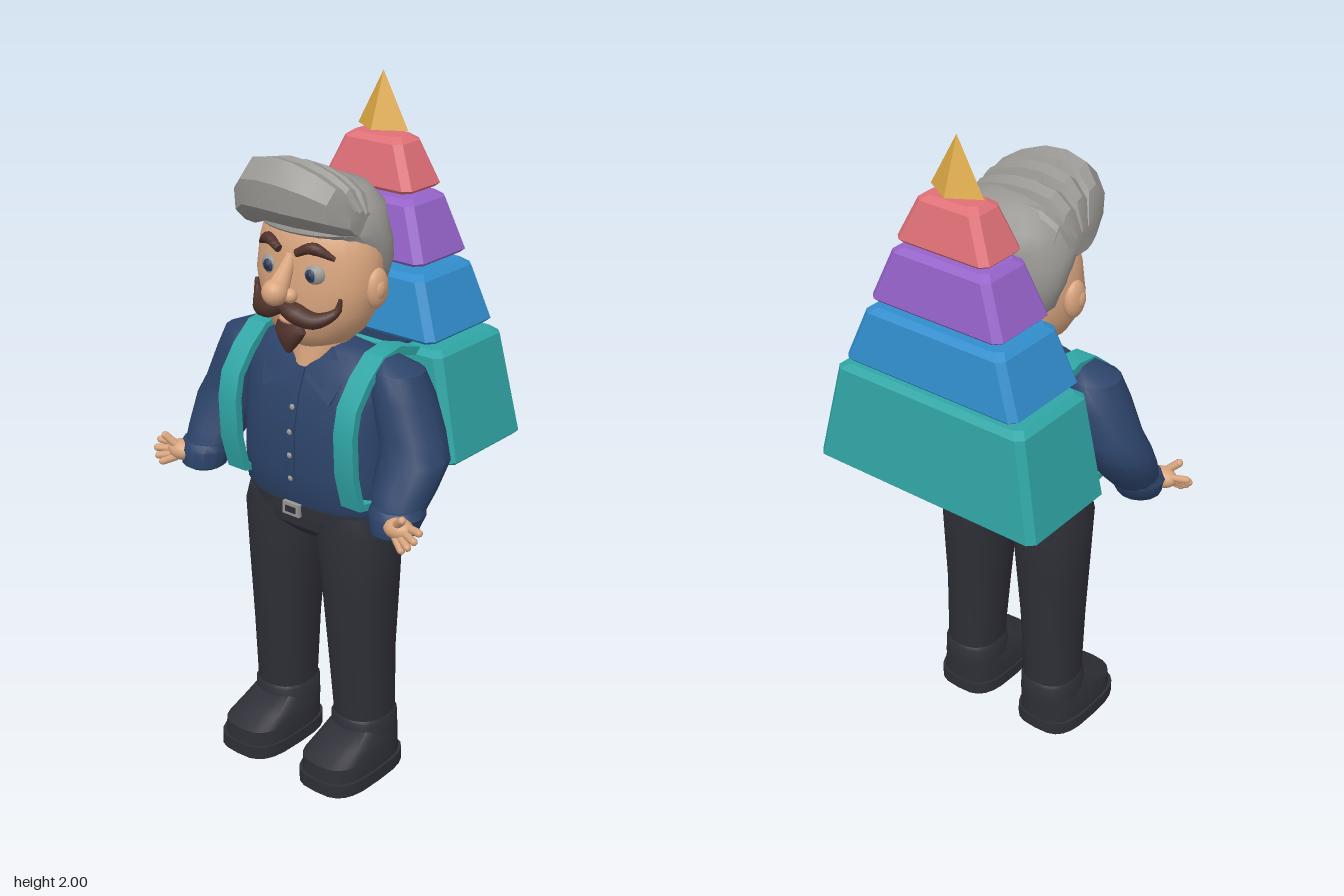
import * as THREE from 'three';
import { toCreasedNormals } from 'three/addons/utils/BufferGeometryUtils.js';

const V = (x, y, z) => new THREE.Vector3(x, y, z);

// Skin closed rings of points into a capped solid that always faces outwards
function loft(rings, crease = 0.7) {
  const n = rings[0].length, pos = [], idx = [];
  rings.forEach(r => r.forEach(p => pos.push(p.x, p.y, p.z)));
  for (let i = 0; i < rings.length - 1; i++) {
    for (let j = 0; j < n; j++) {
      const a = i * n + j, c = i * n + (j + 1) % n;
      idx.push(a, a + n, c, a + n, c + n, c);
    }
  }
  [0, rings.length - 1].forEach((k, end) => {
    const mid = rings[k].reduce((s, p) => s.add(p), V(0, 0, 0)).divideScalar(n), m = pos.length / 3;
    pos.push(mid.x, mid.y, mid.z);
    for (let j = 0; j < n; j++) {
      const a = k * n + j, b = k * n + (j + 1) % n;
      if (end) idx.push(m, b, a); else idx.push(m, a, b);
    }
  });
  const P = i => V(pos[i * 3], pos[i * 3 + 1], pos[i * 3 + 2]);
  let vol = 0;
  for (let i = 0; i < idx.length; i += 3) vol += P(idx[i]).dot(P(idx[i + 1]).cross(P(idx[i + 2])));
  if (vol < 0) idx.reverse();
  const g = new THREE.BufferGeometry();
  g.setAttribute('position', new THREE.Float32BufferAttribute(pos, 3));
  g.setIndex(idx);
  return toCreasedNormals(g, crease);
}

// Stack of horizontal rounded rings: [x, y, z, rx, rz]
function stack(rows, s = 1, power = 2, n = 20) {
  const f = v => Math.sign(v) * Math.pow(Math.abs(v), 2 / power);
  return loft(rows.map(([x, y, z, rx, rz]) => Array.from({ length: n }, (_, j) => {
    const a = j / n * Math.PI * 2;
    return V(x * s + rx * f(Math.cos(a)), y, z + rz * f(Math.sin(a)));
  })));
}

// Round strand with a changing radius along a curve
function strand(points, radii, n = 10, steps = 14) {
  const curve = new THREE.CatmullRomCurve3(points), fr = curve.computeFrenetFrames(steps);
  return loft(Array.from({ length: steps + 1 }, (_, i) => {
    const t = i / steps * (radii.length - 1), k = Math.min(Math.floor(t), radii.length - 2);
    const r = THREE.MathUtils.lerp(radii[k], radii[k + 1], t - k), c = curve.getPointAt(i / steps);
    return Array.from({ length: n }, (_, j) => {
      const a = j / n * Math.PI * 2;
      return c.clone().addScaledVector(fr.normals[i], r * Math.cos(a)).addScaledVector(fr.binormals[i], r * Math.sin(a));
    });
  }));
}

// Flat band following a [z, y] path
function ribbon(path, x, half, thick) {
  return loft(path.map(([z, y], i) => {
    const p = path[Math.max(0, i - 1)], q = path[Math.min(path.length - 1, i + 1)];
    const len = Math.hypot(q[0] - p[0], q[1] - p[1]);
    const nz = -(q[1] - p[1]) / len * thick / 2, ny = (q[0] - p[0]) / len * thick / 2;
    return [[-1, -1], [1, -1], [1, 1], [-1, 1]].map(([u, v]) => V(x + u * half, y + v * ny, z + v * nz));
  }), 0.5);
}

// Rectangle with cut corners
const cutRect = (w, d, y, z, c = 0.02) => [[w, d - c], [w - c, d], [c - w, d], [-w, d - c],
  [-w, c - d], [c - w, -d], [w - c, -d], [w, c - d]].map(([a, b]) => V(a, y, z + b));

export function createModel() {
  const root = new THREE.Group();
  const mat = {};
  Object.entries({ teal: 0x30a5a5, blue: 0x318dcc, purple: 0x9563c9, coral: 0xdf7077, gold: 0xdca743,
    grey: 0x999793, skin: 0xd9a57e, navy: 0x2c4369, charcoal: 0x2e2e37, brown: 0x50322b,
  }).forEach(([name, color]) => {
    mat[name] = new THREE.MeshStandardMaterial({ color });
    mat[name].name = name;
  });
  const add = (name, geo, m) => {
    const mesh = new THREE.Mesh(geo, mat[m]);
    mesh.name = name;
    root.add(mesh);
    return mesh;
  };
  const ball = (name, m, x, y, z, rx, ry = rx, rz = rx) => {
    const b = add(name, new THREE.SphereGeometry(1, 18, 12), m);
    b.position.set(x, y, z);
    b.scale.set(rx, ry, rz);
    return b;
  };
  const box = (name, m, w, h, d, x, y, z) => {
    const b = add(name, new THREE.BoxGeometry(w, h, d), m);
    b.position.set(x, y, z);
    return b;
  };
  const finger = (name, a, b, r) => {
    const d = b.clone().sub(a), f = add(name, new THREE.CapsuleGeometry(r, d.length(), 3, 8), 'skin');
    f.position.copy(a).lerp(b, 0.5);
    f.quaternion.setFromUnitVectors(V(0, 1, 0), d.normalize());
  };

  // Backpack tiers: bottom y, top y, half widths, z range at bottom and top
  [['teal', 0.985, 1.3, 0.38, 0.32, -0.335, 0.005, -0.31, -0.005],
    ['blue', 1.315, 1.49, 0.293, 0.235, -0.302, -0.005, -0.282, -0.03],
    ['purple', 1.51, 1.678, 0.22, 0.163, -0.272, -0.043, -0.25, -0.072],
    ['coral', 1.692, 1.832, 0.152, 0.1, -0.241, -0.075, -0.216, -0.1],
  ].forEach(([m, y0, y1, w0, w1, b0, f0, b1, f1]) => {
    const z0 = (b0 + f0) / 2, d0 = (f0 - b0) / 2, z1 = (b1 + f1) / 2, d1 = (f1 - b1) / 2;
    add(m + 'PackTier', loft([cutRect(w0 - 0.01, d0 - 0.01, y0, z0), cutRect(w0, d0, y0 + 0.01, z0),
      cutRect(w1, d1, y1 - 0.015, z1), cutRect(w1 - 0.02, d1 - 0.02, y1, z1)], 0.2), m);
  });
  const tip = new THREE.ConeGeometry(0.087, 0.155, 4).toNonIndexed();
  tip.computeVertexNormals();
  const peak = add('packPeak', tip, 'gold');
  peak.scale.z = 0.62;
  peak.position.set(0, 1.9225, -0.16);
  box('packBackPanel', 'navy', 0.4, 0.45, 0.06, 0, 1.145, -0.045);

  // Shirt, trousers and belt
  add('shirt', stack([[0, 0.835, 0.095, 0.235, 0.125], [0, 0.86, 0.1, 0.248, 0.132], [0, 0.95, 0.1, 0.25, 0.14],
    [0, 1.08, 0.1, 0.245, 0.138], [0, 1.18, 0.095, 0.245, 0.122], [0, 1.26, 0.09, 0.25, 0.095],
    [0, 1.3, 0.09, 0.2, 0.065], [0, 1.315, 0.09, 0.1, 0.05]], 1, 2.5, 28), 'navy');
  add('hips', stack([[0, 0.735, 0.1, 0.07, 0.08], [0, 0.775, 0.1, 0.2, 0.12], [0, 0.85, 0.1, 0.235, 0.125]], 1, 2.5), 'charcoal');
  add('belt', stack([[0, 0.812, 0.1, 0.232, 0.133], [0, 0.848, 0.1, 0.232, 0.133]], 1, 2.5), 'charcoal');
  box('buckle', 'grey', 0.06, 0.038, 0.012, 0, 0.834, 0.236);
  box('buckleInset', 'charcoal', 0.036, 0.018, 0.008, 0, 0.834, 0.241);
  add('shirtPlacket', ribbon([[0.224, 0.86], [0.241, 0.95], [0.239, 1.08], [0.218, 1.18], [0.19, 1.25]], 0, 0.016, 0.008), 'navy');
  [[0.93, 0.24], [1.0, 0.243], [1.07, 0.242], [1.14, 0.229]].forEach(([y, z]) => ball('button', 'grey', 0, y, z, 0.009, 0.009, 0.006));

  // Head, neck and face
  add('neck', stack([[0, 1.23, 0.12, 0.055, 0.075], [0, 1.28, 0.105, 0.085, 0.08], [0, 1.37, 0.1, 0.09, 0.08]]), 'skin');
  add('head', stack([[0, 1.305, 0.13, 0.045, 0.05], [0, 1.325, 0.115, 0.1, 0.095], [0, 1.36, 0.115, 0.14, 0.118],
    [0, 1.42, 0.113, 0.177, 0.13], [0, 1.5, 0.11, 0.195, 0.133], [0, 1.58, 0.1, 0.19, 0.135],
    [0, 1.65, 0.095, 0.17, 0.13], [0, 1.71, 0.09, 0.1, 0.08]], 1, 2, 28), 'skin');
  add('noseBridge', strand([V(0, 1.575, 0.222), V(0, 1.535, 0.25), V(0, 1.49, 0.285)], [0.015, 0.022, 0.032]), 'skin');
  ball('noseTip', 'skin', 0, 1.487, 0.292, 0.036);
  ball('lowerLip', 'skin', 0, 1.397, 0.24, 0.03, 0.012, 0.016);
  add('goatee', stack([[0, 1.305, 0.24, 0.008, 0.008], [0, 1.335, 0.235, 0.032, 0.026],
    [0, 1.365, 0.23, 0.052, 0.03], [0, 1.388, 0.228, 0.045, 0.024]], 1, 2, 12), 'brown');

  // Hair cap
  add('hairCap', stack([[0, 1.44, 0.04, 0.13, 0.07], [0, 1.48, 0.045, 0.165, 0.092], [0, 1.55, 0.05, 0.188, 0.11],
    [0, 1.61, 0.07, 0.194, 0.13], [0, 1.64, 0.088, 0.19, 0.147], [0, 1.7, 0.085, 0.172, 0.138],
    [0, 1.745, 0.085, 0.125, 0.1], [0, 1.765, 0.085, 0.05, 0.04]], 1, 2, 28), 'grey');
  // Swept wave of hair: a scalloped side profile carried across the head
  const wave = [[0.2, 1.635], [0.25, 1.66], [0.295, 1.705], [0.3, 1.78], [0.245, 1.832], [0.205, 1.82], [0.193, 1.797],
    [0.165, 1.818], [0.135, 1.806], [0.125, 1.78], [0.1, 1.795], [0.07, 1.78], [0.062, 1.755], [0.035, 1.755], [0.0, 1.7], [0.08, 1.63]];
  add('hairWave', loft([[-0.188, 0.4, -0.035], [-0.165, 0.78, -0.02], [-0.12, 0.93, 0], [-0.05, 1, 0.002], [0.02, 0.98, 0],
    [0.09, 0.85, -0.002], [0.14, 0.68, -0.005], [0.172, 0.35, -0.01]].map(([x, k, dy]) =>
    wave.map(([z, y]) => V(x, 1.66 + (y - 1.66) * k + dy, 0.13 + (z - 0.13) * k))), 0.5), 'grey');

  // Paired parts
  for (const s of [1, -1]) {
    const W = (x, y, z) => V(x * s, y, z);
    // Face
    ball('ear', 'skin', s * 0.19, 1.49, 0.1, 0.024, 0.056, 0.04);
    ball('earLobe', 'skin', s * 0.2, 1.49, 0.105, 0.018, 0.03, 0.022);
    ball('eyeball', 'grey', s * 0.074, 1.533, 0.206, 0.037, 0.034, 0.034);
    ball('iris', 'navy', s * 0.074, 1.533, 0.225, 0.021, 0.021, 0.018);
    ball('pupil', 'charcoal', s * 0.074, 1.533, 0.236, 0.011, 0.011, 0.009);
    ball('nostril', 'skin', s * 0.03, 1.477, 0.265, 0.02);
    add('eyebrow', strand([W(0.03, 1.588, 0.24), W(0.075, 1.606, 0.228), W(0.13, 1.58, 0.2)], [0.011, 0.017, 0.006]), 'brown');
    add('moustache', strand([W(-0.005, 1.448, 0.262), W(0.045, 1.43, 0.262), W(0.095, 1.415, 0.242),
      W(0.14, 1.44, 0.205), W(0.148, 1.475, 0.2)], [0.02, 0.03, 0.024, 0.014, 0.005]), 'brown');

    // Collar flap
    const flap = new THREE.Shape([[0.02, 1.225], [0.075, 1.31], [0.15, 1.25], [0.12, 1.17]].map(([x, y]) => new THREE.Vector2(x * s, y)));
    const flapGeo = new THREE.ExtrudeGeometry(flap, { depth: 0.015, bevelEnabled: false });
    const fp = flapGeo.attributes.position;
    for (let i = 0; i < fp.count; i++) fp.setZ(i, fp.getZ(i) + 0.215 - (fp.getY(i) - 1.17) * 0.5 - Math.abs(fp.getX(i)) * 0.1);
    flapGeo.computeVertexNormals();
    add('collar', flapGeo, 'navy');

    // Shoulder strap
    add('strap', ribbon([[-0.02, 1.29], [0.06, 1.315], [0.13, 1.305], [0.19, 1.255], [0.24, 1.19], [0.255, 1.12],
      [0.25, 1.0], [0.225, 0.905], [0.15, 0.89], [0.04, 0.925], [-0.05, 0.96]], s * 0.21, 0.033, 0.024), 'teal');

    // Sleeve and cuff
    add('sleeve', stack([[0.235, 1.312, 0.1, 0.03, 0.03], [0.265, 1.28, 0.1, 0.075, 0.072], [0.285, 1.21, 0.1, 0.087, 0.09],
      [0.318, 1.11, 0.105, 0.097, 0.092], [0.34, 1.055, 0.12, 0.1, 0.092], [0.342, 0.98, 0.165, 0.088, 0.09],
      [0.347, 0.925, 0.2, 0.072, 0.075]], s, 2, 14), 'navy');
    add('cuff', stack([[0.35, 0.945, 0.2, 0.072, 0.075], [0.352, 0.925, 0.208, 0.079, 0.08], [0.35, 0.875, 0.222, 0.065, 0.065],
      [0.35, 0.865, 0.222, 0.05, 0.05]], s, 2, 14), 'navy');

    // Hand
    ball('palm', 'skin', s * 0.4, 0.912, 0.265, 0.045, 0.03, 0.034);
    [[0.475, 0.926, 0.275], [0.472, 0.907, 0.293], [0.458, 0.889, 0.302], [0.44, 0.876, 0.305]].forEach(([x, y, z], i) =>
      finger('finger', W(0.405, 0.92 - i * 0.009, 0.255 + i * 0.01), W(x, y, z), 0.011));
    finger('thumb', W(0.395, 0.92, 0.275), W(0.434, 0.957, 0.295), 0.012);

    // Trouser leg with turned cuff
    add('trouserLeg', stack([[0.128, 0.84, 0.1, 0.105, 0.115], [0.132, 0.78, 0.1, 0.118, 0.122], [0.138, 0.6, 0.1, 0.105, 0.112],
      [0.143, 0.4, 0.1, 0.092, 0.1], [0.15, 0.17, 0.095, 0.084, 0.09]], s, 2.3), 'charcoal');
    add('trouserCuff', stack([[0.15, 0.18, 0.095, 0.085, 0.09], [0.15, 0.17, 0.095, 0.091, 0.096],
      [0.15, 0.115, 0.095, 0.092, 0.096]], s, 2.3), 'charcoal');

    // Shoe
    add('shoeSole', stack([[0.154, 0, 0.163, 0.108, 0.163], [0.154, 0.04, 0.163, 0.108, 0.163]], s, 3.2, 24), 'charcoal');
    add('shoeUpper', stack([[0.153, 0.035, 0.162, 0.102, 0.157], [0.152, 0.085, 0.161, 0.1, 0.155],
      [0.151, 0.115, 0.125, 0.092, 0.122], [0.15, 0.15, 0.095, 0.08, 0.09]], s, 3, 24), 'charcoal');
  }
  return root;
}
